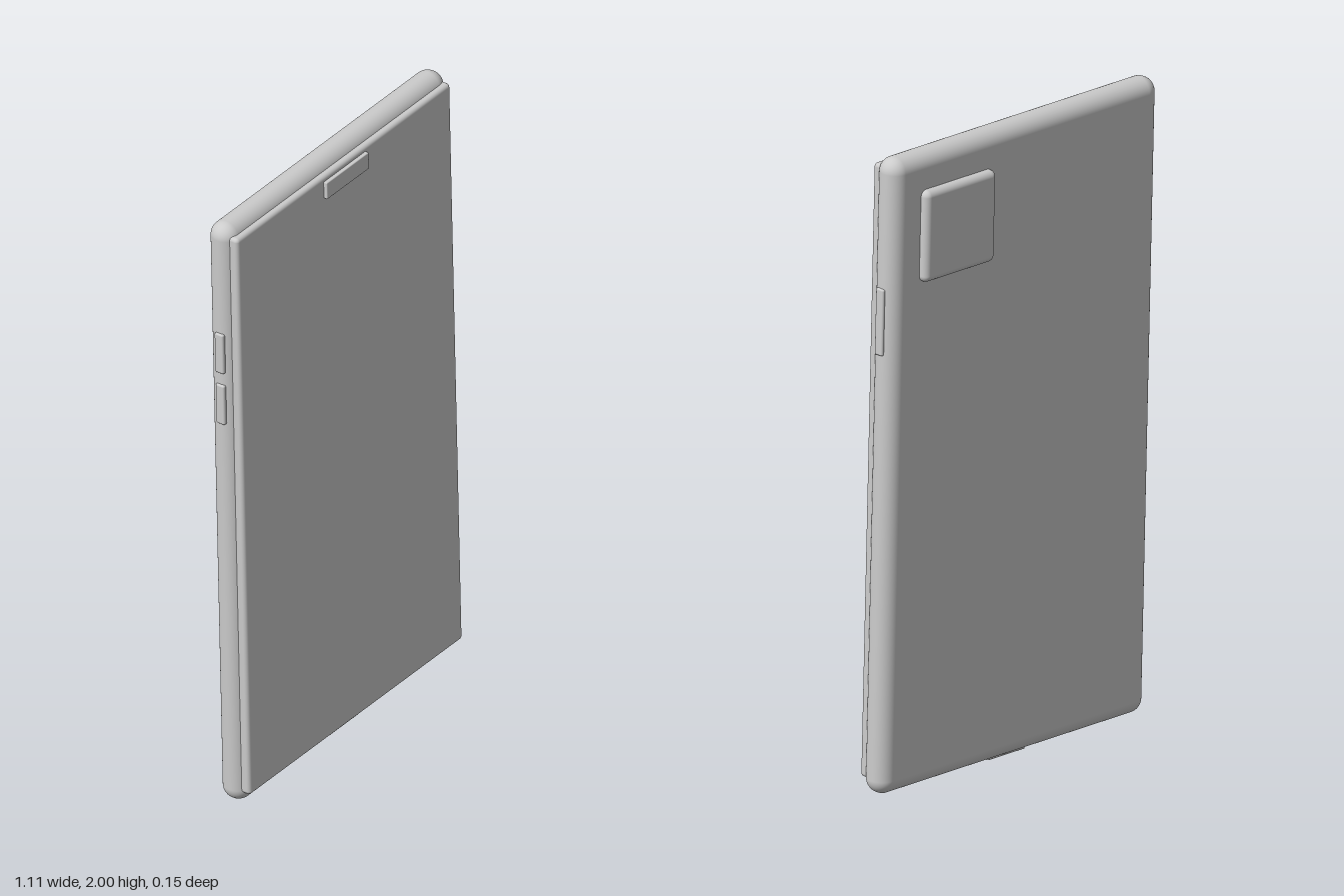
import * as THREE from 'three';
import { RoundedBoxGeometry } from 'three/addons/geometries/RoundedBoxGeometry.js';

export function createModel() {
  const model = new THREE.Group();
  model.name = 'smartphone';
  const material = new THREE.MeshStandardMaterial({ color: 0xcccccc });

  // Adds a rounded box; positions are relative to the centre of the phone
  function slab(name, [w, h, d], radius, [x, y, z], segments = 4) {
    const mesh = new THREE.Mesh(new RoundedBoxGeometry(w, h, d, segments, radius), material);
    mesh.name = name;
    mesh.position.set(x, y, z);
    model.add(mesh);
  }

  // Body with fully rounded edges
  slab('body', [1.072, 1.98, 0.092], 0.0455, [0, 0, -0.002], 8);

  // Raised screen and the sensor bar near its top
  slab('screen', [1.04, 1.912, 0.04], 0.012, [-0.001, 0.004, 0.041]);
  slab('sensorBar', [0.205, 0.056, 0.026], 0.003, [0.001, 0.915, 0.06], 2);

  // Camera plate on the back
  slab('cameraPlate', [0.285, 0.285, 0.05], 0.02, [0.285, 0.737, -0.0485]);

  // Side buttons
  slab('powerButton', [0.03, 0.208, 0.032], 0.006, [0.527, 0.485, 0], 2);
  for (const [name, y] of [['volumeUpButton', 0.56], ['volumeDownButton', 0.385]]) {
    slab(name, [0.03, 0.135, 0.032], 0.006, [-0.528, y, 0], 2);
  }

  // Charging port lip on the bottom edge
  slab('chargingPort', [0.15, 0.024, 0.032], 0.004, [0, -0.983, 0], 2);

  // Slight lean of the whole phone
  model.rotation.set(-0.008, -0.0078, 0.0205);
  model.position.y = 1;
  return model;
}
